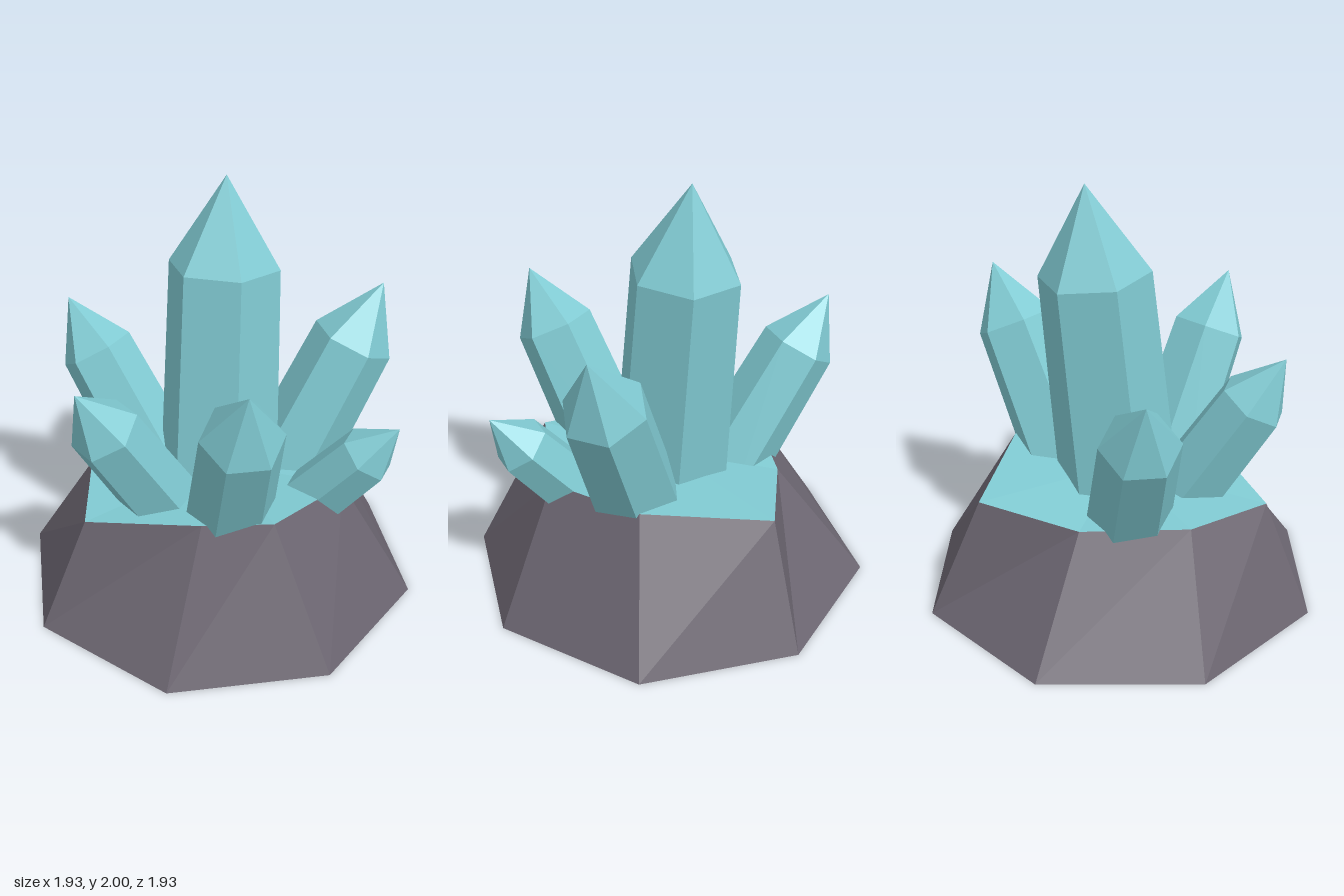
import * as THREE from 'three';

const stone = new THREE.MeshStandardMaterial({ name: 'stone', color: 0x6b6570, flatShading: true });
const crystal = new THREE.MeshStandardMaterial({ name: 'crystal', color: 0x80cad2, flatShading: true });

// Uneven upper rim of the rock, running from the front round through +x
const RIM = [
  [0.05, 0.6, 0.52], [0.38, 0.66, 0.51], [0.62, 0.62, 0.08], [0.45, 0.635, -0.38],
  [-0.045, 0.577, -0.72], [-0.39, 0.53, -0.36], [-0.615, 0.565, 0.085], [-0.5, 0.535, 0.53],
];

function facets(name, triangles, material) {
  const geometry = new THREE.BufferGeometry();
  geometry.setAttribute('position', new THREE.Float32BufferAttribute(triangles.flat(2), 3));
  geometry.computeVertexNormals();
  const mesh = new THREE.Mesh(geometry, material);
  mesh.name = name;
  return mesh;
}

// Eight-sided rock with a flat underside and a crystal-coloured top
function rock() {
  const foot = RIM.map((_, i) => {
    const a = (i * Math.PI) / 4;
    return [0.967 * Math.sin(a), 0, 0.967 * Math.cos(a)];
  });
  const body = [], top = [];
  RIM.forEach((p, i) => {
    const j = (i + 1) % RIM.length;
    body.push([foot[i], foot[j], RIM[j]], [foot[i], RIM[j], p], [[0, 0, 0], foot[j], foot[i]]);
    top.push([[0, 0.6, 0], p, RIM[j]]);
  });
  const group = new THREE.Group();
  group.name = 'rockBase';
  group.add(facets('rockBody', body, stone), facets('rockTop', top, crystal));
  return group;
}

// Tapered hexagonal shaft with a pyramid point, hung from its tip and leaning along (slopeX, slopeZ)
function shard({ name, tip, slope, r }) {
  const lean = Math.hypot(...slope);
  const point = 1.59 * r;
  const length = (tip[1] - 0.38) * Math.hypot(1, lean);
  const profile = [[0, -length], [r * 1.13, -length], [r, -point], [0, 0]];
  const geometry = new THREE.LatheGeometry(profile.map(([x, y]) => new THREE.Vector2(x, y)), 6);
  geometry.rotateY(Math.PI / 6);
  const mesh = new THREE.Mesh(geometry, crystal);
  mesh.name = name;
  mesh.position.set(...tip);
  mesh.rotation.order = 'YXZ';
  mesh.rotation.set(Math.atan(lean), Math.atan2(slope[0], slope[1]), 0);
  return mesh;
}

const SHARDS = [
  { name: 'centreCrystal', tip: [0, 2, -0.165], slope: [0, -0.105], r: 0.26 },
  { name: 'frontCrystal', tip: [0.3, 1.4, 0.71], slope: [0.195, 0.46], r: 0.187 },
  { name: 'frontRightCrystal', tip: [-0.48, 1.245, 0.6], slope: [-0.385, 0.48], r: 0.165 },
  { name: 'rightCrystal', tip: [-0.8, 1.295, -0.22], slope: [-0.6, -0.165], r: 0.18 },
  { name: 'backLeftCrystal', tip: [0.7, 1.46, -0.385], slope: [0.43, -0.237], r: 0.195 },
  { name: 'leftSmallCrystal', tip: [0.865, 1.01, 0.16], slope: [0.82, 0.15], r: 0.137 },
];

export function createModel() {
  const model = new THREE.Group();
  model.name = 'crystalCluster';
  model.add(rock(), ...SHARDS.map(shard));
  return model;
}
